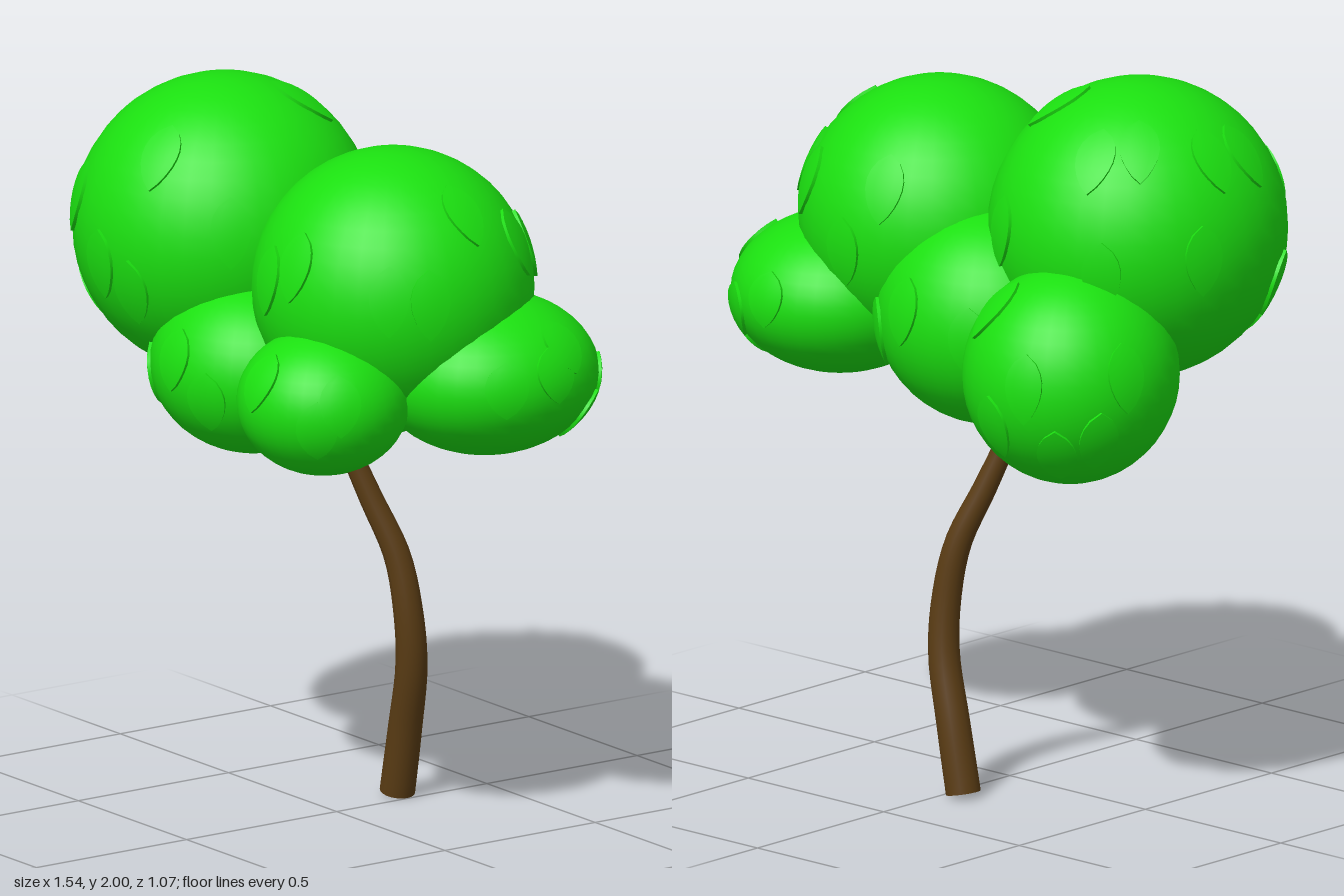
import * as THREE from 'three';
import { toCreasedNormals } from 'three/addons/utils/BufferGeometryUtils.js';

const green = new THREE.MeshStandardMaterial({ color: 0x1be010 });
const brown = new THREE.MeshStandardMaterial({ color: 0x5a3c14 });

// Foliage balls: centre, radii, and leaves as [azimuth from +z toward +x, elevation] in degrees
const balls = [
  { name: 'foliageLargeRight', c: [-0.37, 1.59, 0.11], r: [0.4, 0.41, 0.415],
    leaves: [[-26, 13], [23, 38], [0, -8], [16, -17], [58, 10], [-45, -31], [-59, -20], [-75, 36],
      [-97, 38], [137, 58], [-158, 40], [-135, 45], [158, 5], [-110, 0], [-150, -5]] },
  { name: 'foliageLargeLeft', c: [0.26, 1.53, 0], r: [0.38, 0.38, 0.385],
    leaves: [[-9, 9], [8, 18], [53, 8], [70, 6], [97, 42], [128, 23], [146, 18], [-162, 24], [180, -5]] },
  { name: 'foliageBackRight', c: [-0.44, 1.26, -0.23], r: [0.29, 0.3, 0.3],
    leaves: [[150, 42], [-162, 5], [-105, 10], [-120, -25], [-145, -35], [175, -20]] },
  { name: 'foliageBackLeft', c: [0.47, 1.31, -0.16], r: [0.295, 0.22, 0.31],
    leaves: [[108, 30], [66, 5], [95, 12], [150, -8], [180, 8], [135, -30]] },
  { name: 'foliageFrontLeft', c: [0.34, 1.27, 0.29], r: [0.235, 0.2, 0.235],
    leaves: [[0, 25], [66, 12], [50, -8]] },
  { name: 'foliageFrontMiddle', c: [-0.09, 1.27, 0.22], r: [0.29, 0.24, 0.265],
    leaves: [[0, 12], [25, -12], [-45, -10]] },
  { name: 'foliageBackMiddle', c: [-0.04, 1.33, -0.12], r: [0.32, 0.3, 0.3],
    leaves: [[170, 10], [-150, 0], [140, -8]] },
];

// A thin pointed leaf wrapped onto an ellipsoid, with a rim that sinks into it
function leafGeometry(radii, [az, el]) {
  const a = THREE.MathUtils.degToRad(az), b = THREE.MathUtils.degToRad(el);
  const d = new THREE.Vector3(Math.sin(a) * Math.cos(b), Math.sin(b), Math.cos(a) * Math.cos(b));
  const side = new THREE.Vector3(0, 1, 0).cross(d).normalize();
  const up = d.clone().cross(side);
  const size = (radii.x + radii.y + radii.z) / 3;
  const geo = new THREE.PlaneGeometry(2, 2, 6, 10);
  const pos = geo.attributes.position, p = new THREE.Vector3();
  for (let i = 0; i < pos.count; i++) {
    const x = pos.getX(i), y = pos.getY(i);
    const rim = Math.abs(x) > 0.99 || Math.abs(y) > 0.99;
    const s = THREE.MathUtils.clamp(x * 1.5, -1, 1), t = THREE.MathUtils.clamp(y * 1.25, -1, 1);
    const width = 0.054 * Math.pow(Math.max(0, 1 - t * t), 0.8) * (1 + 0.2 * t);
    p.copy(d).addScaledVector(side, (s * width) / size).addScaledVector(up, (t * 0.1) / size).normalize();
    const lift = rim ? -0.01 : 0.008;
    pos.setXYZ(i, p.x * (radii.x + lift), p.y * (radii.y + lift), p.z * (radii.z + lift));
  }
  return toCreasedNormals(geo, 0.7);
}

function foliage({ name, c, r, leaves }) {
  const group = new THREE.Group();
  group.name = name;
  group.position.set(...c);
  const radii = new THREE.Vector3(...r);
  const ball = new THREE.Mesh(new THREE.SphereGeometry(1, 36, 24).scale(...r), green);
  ball.name = 'ball';
  group.add(ball);
  for (const angles of leaves) {
    const leaf = new THREE.Mesh(leafGeometry(radii, angles), green);
    leaf.name = 'leaf';
    group.add(leaf);
  }
  return group;
}

// Bent trunk: a tube narrowed toward the top, flaring where it meets the foliage
function trunk() {
  const group = new THREE.Group();
  group.name = 'trunk';
  const curve = new THREE.CatmullRomCurve3([
    [-0.05, 0.012, -0.238], [-0.01, 0.2, -0.235], [0.033, 0.38, -0.225], [0.038, 0.52, -0.213],
    [0.012, 0.69, -0.193], [-0.045, 0.85, -0.145], [-0.093, 1.0, -0.1], [-0.107, 1.06, -0.085],
  ].map((q) => new THREE.Vector3(...q)));
  const rows = 28, sides = 20;
  const geo = new THREE.TubeGeometry(curve, rows, 1, sides);
  const pos = geo.attributes.position, p = new THREE.Vector3();
  for (let i = 0; i <= rows; i++) {
    const t = i / rows, centre = curve.getPointAt(t);
    const radius = 0.048 - 0.022 * Math.pow(t, 1.5) + 0.022 * THREE.MathUtils.smoothstep(t, 0.91, 1);
    for (let j = 0; j <= sides; j++) {
      const k = i * (sides + 1) + j;
      p.fromBufferAttribute(pos, k).sub(centre).multiplyScalar(radius).add(centre);
      pos.setXYZ(k, p.x, p.y, p.z);
    }
  }
  geo.computeVertexNormals();
  const stem = new THREE.Mesh(geo, brown);
  stem.name = 'trunkStem';
  // Cap under the slightly tilted foot
  const foot = new THREE.Mesh(new THREE.CircleGeometry(0.048, sides), brown);
  foot.name = 'trunkFoot';
  foot.position.copy(curve.getPointAt(0));
  foot.quaternion.setFromUnitVectors(new THREE.Vector3(0, 0, 1), curve.getTangentAt(0).negate());
  group.add(stem, foot);
  return group;
}

export function createModel() {
  const tree = new THREE.Group();
  tree.name = 'tree';
  tree.add(trunk(), ...balls.map(foliage));
  return tree;
}
